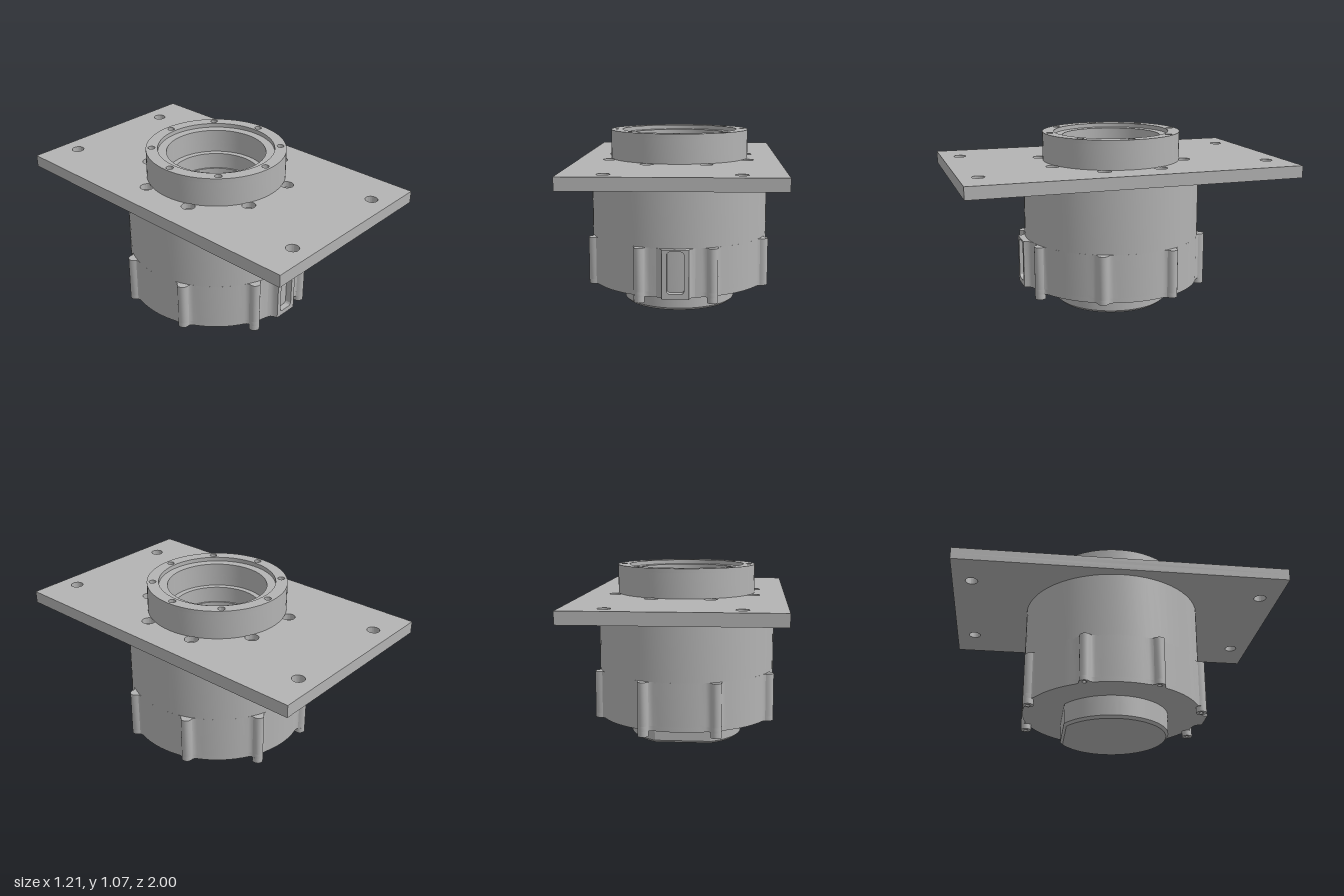
import * as THREE from 'three';
import { toCreasedNormals } from 'three/addons/utils/BufferGeometryUtils.js';

const BOLT_ANGLES = Array.from({ length: 8 }, (_, i) => (i + 0.5) * Math.PI / 4);
const RING_ANGLES = Array.from({ length: 8 }, (_, i) => i * Math.PI / 4);

export function createModel() {
  const group = new THREE.Group();
  const metal = new THREE.MeshStandardMaterial({ color: 0xb3b3b3 });

  function add(name, geometry) {
    const mesh = new THREE.Mesh(toCreasedNormals(geometry, 0.5), metal);
    mesh.name = name;
    group.add(mesh);
    return mesh;
  }
  const circle = (r, x = 0, y = 0) => new THREE.Shape().absarc(x, y, r, 0, Math.PI * 2, false);
  const holesAt = (angles, radius, r) =>
    angles.map(a => circle(r, Math.cos(a) * radius, Math.sin(a) * radius));

  // Horizontal slab from a plan shape; plan y points towards -z
  function slab(name, shape, y0, y1, holes = [], curveSegments = 32) {
    shape.holes = holes;
    const g = new THREE.ExtrudeGeometry(shape, { depth: y1 - y0, bevelEnabled: false, curveSegments });
    g.rotateX(-Math.PI / 2).translate(0, y0, 0);
    return add(name, g);
  }
  function lathe(name, pts) {
    return add(name, new THREE.LatheGeometry(pts.map(p => new THREE.Vector2(...p)), 72));
  }

  // Mounting plate: corner holes and counterbored bolt circle
  const rect = (w, h) => new THREE.Shape([
    new THREE.Vector2(-w, -h), new THREE.Vector2(w, -h),
    new THREE.Vector2(w, h), new THREE.Vector2(-w, h)]);
  const cornerHoles = () => [[1, 1], [1, -1], [-1, 1], [-1, -1]]
    .map(([sx, sz]) => circle(0.037, sx * 0.363, sz * 0.885));
  slab('plateLower', rect(0.605, 1), 0.822, 0.858,
    [circle(0.3), ...cornerHoles(), ...holesAt(BOLT_ANGLES, 0.45, 0.022)]);
  slab('plateUpper', rect(0.605, 1), 0.858, 0.896,
    [circle(0.3), ...cornerHoles(), ...holesAt(BOLT_ANGLES, 0.45, 0.04)]);

  // Output collar with stepped rim and screw holes
  slab('collar', circle(0.423), 0.896, 1.045,
    [circle(0.3), ...holesAt(RING_ANGLES, 0.388, 0.012)], 40);
  slab('collarRim', circle(0.423), 1.045, 1.07,
    [circle(0.352), ...holesAt(RING_ANGLES, 0.388, 0.021)], 40);

  // Stepped bore inside the collar
  lathe('bore', [[0.3, 0.96], [0.3, 0.9], [0.265, 0.9], [0.265, 0.8],
    [0.255, 0.8], [0.255, 0.3], [0, 0.3]]);

  // Upper housing
  lathe('upperHousing', [[0.545, 0.42], [0.545, 0.822], [0.3, 0.822]]);

  // Lower housing outline with a filleted lobe at each bolt
  function lobedOutline() {
    const lobe = [[-0.06, 0.5417], [-0.044, 0.546], [-0.035, 0.554], [-0.031, 0.566],
      [-0.023, 0.58], [-0.012, 0.587], [0, 0.589]];
    const profile = [...lobe, ...lobe.slice(0, -1).reverse().map(([t, r]) => [-t, r])];
    const pts = [];
    for (const a of BOLT_ANGLES) {
      for (const [t, r] of profile) {
        pts.push(new THREE.Vector2(
          r * Math.cos(a) - t * Math.sin(a), r * Math.sin(a) + t * Math.cos(a)));
      }
      for (let j = 1; j < 9; j++) {
        const b = a + 0.11 + (Math.PI / 4 - 0.22) * j / 9;
        pts.push(new THREE.Vector2(0.545 * Math.cos(b), 0.545 * Math.sin(b)));
      }
    }
    return new THREE.Shape(pts);
  }
  slab('lowerHousing', lobedOutline(), 0.165, 0.426);
  slab('lowerHousingBase', lobedOutline(), 0.136, 0.165, holesAt(BOLT_ANGLES, 0.557, 0.014));

  // Longer bolt sleeves at the front and back pairs
  for (const a of BOLT_ANGLES.filter(b => Math.abs(Math.sin(b)) > 0.7)) {
    const x = 0.557 * Math.cos(a), y = 0.557 * Math.sin(a);
    slab('boltSleeve', circle(0.032, x, y), 0.102, 0.137, [circle(0.014, x, y)], 12);
  }

  // Connector frame on the front, with a rounded slot
  const frame = new THREE.Shape([[-0.078, 0.136], [0.078, 0.136], [0.078, 0.426], [-0.078, 0.426]]
    .map(p => new THREE.Vector2(...p)));
  const slot = new THREE.Path();
  const w = 0.05, b = 0.167, t = 0.415, r = 0.02;
  slot.absarc(w - r, t - r, r, 0, Math.PI / 2);
  slot.absarc(-w + r, t - r, r, Math.PI / 2, Math.PI);
  slot.absarc(-w + r, b + r, r, Math.PI, Math.PI * 1.5);
  slot.absarc(w - r, b + r, r, Math.PI * 1.5, Math.PI * 2);
  frame.holes.push(slot);
  add('connectorFrame', new THREE.ExtrudeGeometry(frame,
    { depth: 0.065, bevelEnabled: false, curveSegments: 6 }).translate(0, 0, 0.518));

  // Fillets blending the connector frame into the housing
  for (const s of [1, -1]) {
    const pts = [[0.07, 0.52], [0.115, 0.532], [0.095, 0.542], [0.084, 0.556], [0.078, 0.583], [0.07, 0.583]];
    slab('connectorFillet', new THREE.Shape(pts.map(([x, z]) => new THREE.Vector2(s * x, -z))), 0.136, 0.426);
  }

  // Bottom boss with chamfered edge and a flat at the back
  const c = 0.015, R = 0.345 - c, flat = Math.asin((0.3 - c) / R);
  const boss = new THREE.Shape();
  boss.absarc(0, 0, R, Math.PI - flat, Math.PI * 2 + flat, false);
  boss.closePath();
  const bossGeometry = new THREE.ExtrudeGeometry(boss, {
    depth: 0.14, bevelThickness: c, bevelSize: c, bevelSegments: 1, curveSegments: 64 });
  add('bottomBoss', bossGeometry.rotateX(-Math.PI / 2).translate(0, c, 0));

  return group;
}
